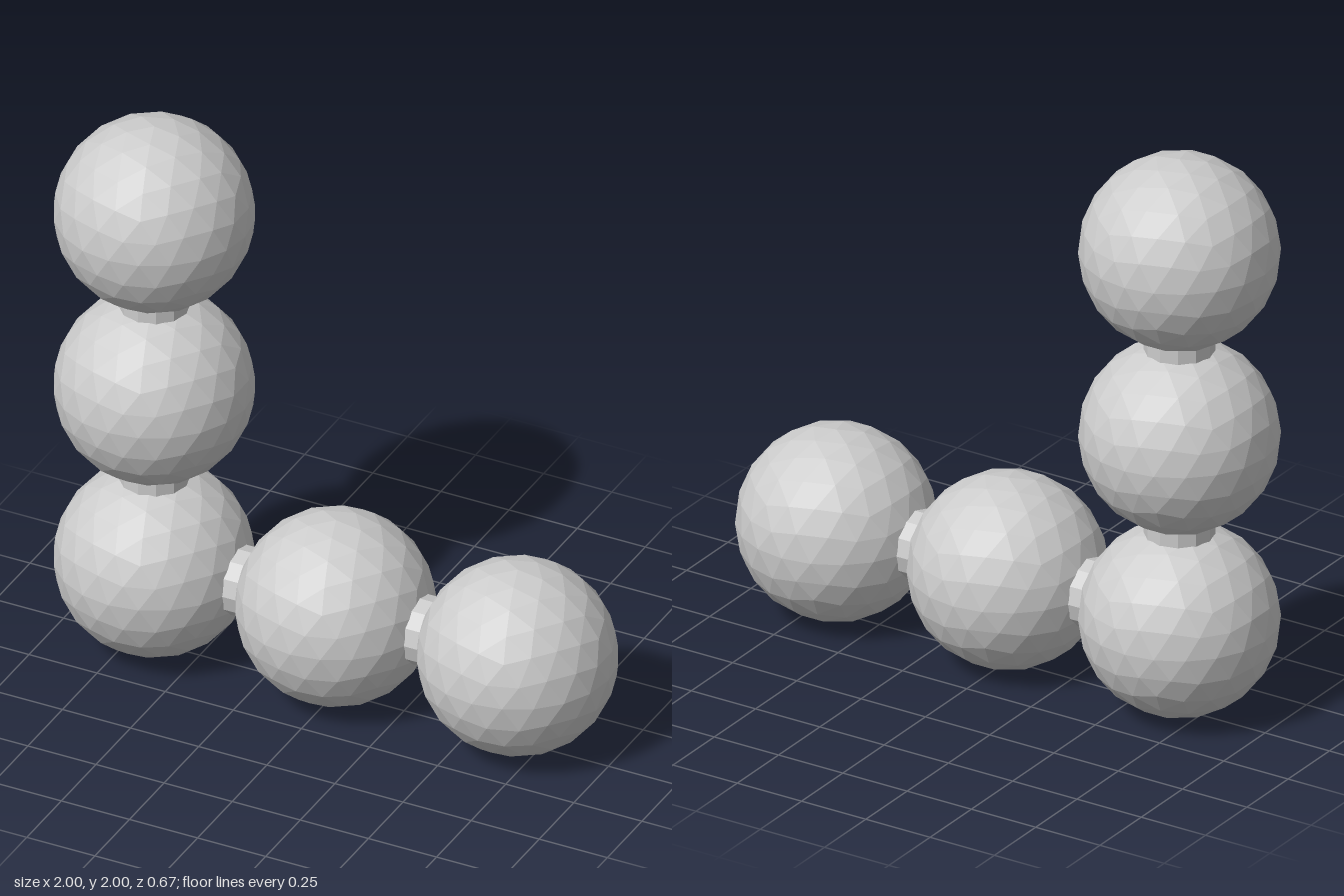
import * as THREE from 'three';

const R = 0.333, STEP = 0.667, BOND_R = 0.118;

// Faceted ball: icosahedron with a vertex at each pole, each face halved twice
function ballGeometry(radius, levels) {
  const ring = (y, offset) => Array.from({ length: 5 }, (_, k) => {
    const a = (k * 72 + offset) * Math.PI / 180, r = Math.sqrt(1 - y * y);
    return new THREE.Vector3(r * Math.cos(a), y, r * Math.sin(a));
  });
  const h = 1 / Math.sqrt(5);
  const top = new THREE.Vector3(0, 1, 0), bottom = new THREE.Vector3(0, -1, 0);
  const up = ring(h, 0), low = ring(-h, 36);
  let faces = [];
  for (let k = 0; k < 5; k++) {
    const n = (k + 1) % 5;
    faces.push([top, up[n], up[k]], [up[k], up[n], low[k]],
      [low[k], up[n], low[n]], [low[k], low[n], bottom]);
  }
  const mid = (a, b) => a.clone().add(b).normalize();
  for (let i = 0; i < levels; i++) {
    faces = faces.flatMap(([a, b, c]) => {
      const ab = mid(a, b), bc = mid(b, c), ca = mid(c, a);
      return [[a, ab, ca], [ab, b, bc], [ca, bc, c], [ab, bc, ca]];
    });
  }
  const points = faces.flat().map(v => v.clone().multiplyScalar(radius));
  const geometry = new THREE.BufferGeometry().setFromPoints(points);
  geometry.computeVertexNormals();
  return geometry;
}

export function createModel() {
  const model = new THREE.Group();
  model.name = 'cornerOfBalls';
  const material = new THREE.MeshStandardMaterial({ color: 0xcccccc, flatShading: true });
  const ball = ballGeometry(R, 2);
  const rod = new THREE.CylinderGeometry(BOND_R, BOND_R, STEP, 12);

  const add = (geometry, name, x, y) => {
    const mesh = new THREE.Mesh(geometry, material);
    mesh.name = name;
    mesh.position.set(x, y, 0);
    model.add(mesh);
    return mesh;
  };

  // Corner ball, then two balls up and two balls across
  const x0 = -STEP, y0 = R;
  add(ball, 'cornerBall', x0, y0);
  for (let i = 1; i <= 2; i++) {
    add(ball, 'uprightBall' + i, x0, y0 + i * STEP);
    add(ball, 'baseBall' + i, x0 + i * STEP, y0);
    // Short rods joining neighbouring balls
    add(rod, 'uprightRod' + i, x0, y0 + (i - 0.5) * STEP);
    add(rod, 'baseRod' + i, x0 + (i - 0.5) * STEP, y0).rotation.z = Math.PI / 2;
  }
  return model;
}
